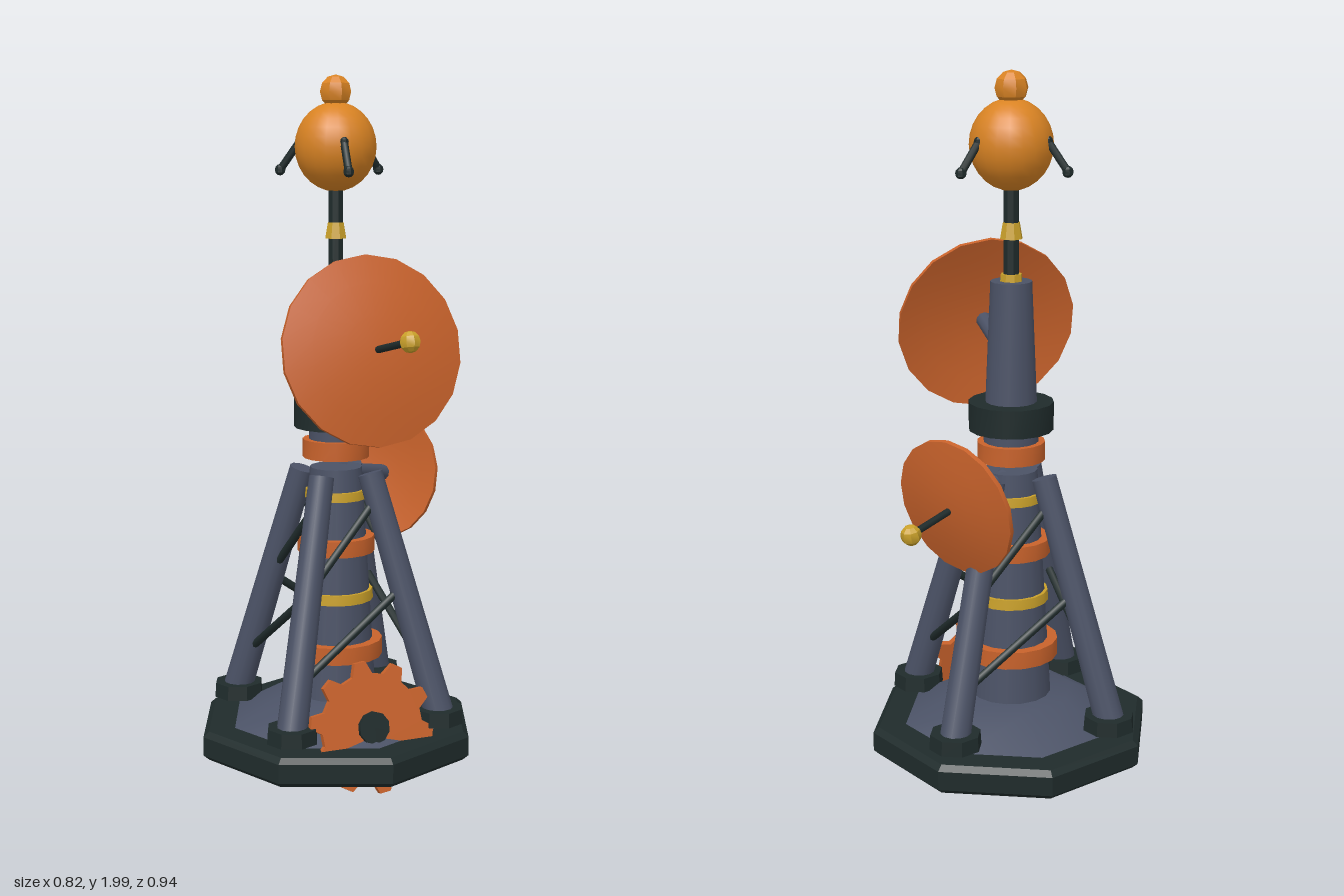
import * as THREE from 'three';
import { toCreasedNormals } from 'three/addons/utils/BufferGeometryUtils.js';

const material = (name, color) => {
  const m = new THREE.MeshStandardMaterial({ color });
  m.name = name;
  return m;
};

export function createModel() {
  const slate = material('slate', 0x4b5266);
  const dark = material('darkGreen', 0x1f2b2b);
  const rust = material('rust', 0xc8622b);
  const amber = material('amber', 0xd98323);
  const gold = material('gold', 0xc9a02a);

  const model = new THREE.Group();
  model.name = 'signalTower';
  const tower = new THREE.Group(); // everything shares the mast axis
  tower.name = 'tower';
  tower.position.z = -0.06;
  model.add(tower);

  const V = (x, y, z) => new THREE.Vector3(x, y, z);
  const add = (parent, name, geometry, mat) => {
    const mesh = new THREE.Mesh(geometry, mat);
    mesh.name = name;
    parent.add(mesh);
    return mesh;
  };
  // Upright drum between two heights
  const drum = (name, y0, y1, r0, r1, mat, sides = 16) => {
    const g = toCreasedNormals(new THREE.CylinderGeometry(r1, r0, y1 - y0, sides), 0.7);
    const mesh = add(tower, name, g, mat);
    mesh.position.y = (y0 + y1) / 2;
    return mesh;
  };
  // Round bar between two points
  const bar = (parent, name, a, b, r0, r1, mat, sides = 8) => {
    const d = b.clone().sub(a);
    const mesh = add(parent, name, new THREE.CylinderGeometry(r1, r0, d.length(), sides), mat);
    mesh.position.copy(a).add(b).multiplyScalar(0.5);
    mesh.quaternion.setFromUnitVectors(V(0, 1, 0), d.normalize());
    return mesh;
  };
  const ball = (parent, name, p, r, mat, w = 8, h = 6) => {
    const mesh = add(parent, name, toCreasedNormals(new THREE.SphereGeometry(r, w, h), 0.5), mat);
    mesh.position.copy(p);
    return mesh;
  };

  // Octagonal base with chamfered edges and a sloping deck
  const basePoints = [[0, 0.06], [0.395, 0.06], [0.412, 0.075], [0.412, 0.13], [0.395, 0.145], [0, 0.145]]
    .map(([r, y]) => new THREE.Vector2(r, y));
  add(tower, 'base', toCreasedNormals(new THREE.LatheGeometry(basePoints, 8), 0.3), dark);
  drum('deck', 0.14, 0.22, 0.325, 0.18, slate, 8);

  // Lower column with its bands
  drum('lowerColumn', 0.2, 0.893, 0.117, 0.075, slate);
  drum('columnRingLow', 0.335, 0.385, 0.135, 0.135, rust);
  drum('columnRingHigh', 0.645, 0.692, 0.112, 0.112, rust);
  drum('columnBandLow', 0.503, 0.533, 0.108, 0.106, gold);
  drum('columnBandHigh', 0.802, 0.828, 0.09, 0.088, gold);

  // Upper mast
  drum('mastCollar', 0.922, 0.975, 0.096, 0.096, rust);
  drum('mastNeck', 0.97, 1.02, 0.078, 0.078, slate);
  drum('mastRing', 1.01, 1.09, 0.12, 0.12, dark);
  drum('mast', 1.08, 1.43, 0.073, 0.058, slate);
  drum('spireFoot', 1.425, 1.45, 0.032, 0.03, gold, 8);
  drum('spire', 1.44, 1.7, 0.022, 0.022, dark, 8);
  drum('spireCollar', 1.547, 1.592, 0.032, 0.024, gold, 8);

  // Head
  ball(tower, 'head', V(0, 1.802, 0), 0.115, amber, 20, 14).scale.y = 1.08;
  ball(tower, 'headKnob', V(0, 1.953, 0), 0.047, amber);
  for (let i = 0; i < 3; i++) {
    const a = THREE.MathUtils.degToRad(-10 + i * 120);
    const at = (r, y) => V(Math.sin(a) * r, y, Math.cos(a) * r);
    bar(tower, 'antenna', at(0.105, 1.818), at(0.165, 1.737), 0.011, 0.011, dark);
    ball(tower, 'antennaRoot', at(0.107, 1.816), 0.014, dark);
    ball(tower, 'antennaTip', at(0.165, 1.737), 0.016, dark);
  }

  // Four splayed legs with two diagonal braces per side
  const corner = (y) => 0.225 - 0.15 * (y - 0.2) / 0.68;
  for (let i = 0; i < 4; i++) {
    const turn = (x, y, z) => V(x, y, z).applyAxisAngle(V(0, 1, 0), i * Math.PI / 2);
    const onLeg = (side, y) => turn(side * corner(y), y, corner(y));
    bar(tower, 'leg', onLeg(1, 0.18), onLeg(1, 0.88), 0.044, 0.036, slate, 12);
    drum('footPad', 0.168, 0.21, 0.075, 0.072, dark, 8).position.add(turn(0.225, 0, 0.225));
    bar(tower, 'lowerBrace', onLeg(-1, 0.31), onLeg(1, 0.555), 0.012, 0.012, dark);
    bar(tower, 'upperBrace', onLeg(-1, 0.56), onLeg(1, 0.81), 0.012, 0.012, dark);
  }

  // Dish on an arm, with a feed rod and ball in front
  const dish = (name, center, azimuth, pitch, R, feed) => {
    const g = new THREE.Group();
    g.name = name;
    g.position.copy(center);
    g.rotation.set(-THREE.MathUtils.degToRad(pitch), THREE.MathUtils.degToRad(azimuth), 0, 'YXZ');
    tower.add(g);
    const depth = R * 0.13, thick = 0.014;
    const points = [];
    const fractions = [0, 0.35, 0.7, 1];
    for (const f of fractions) points.push(new THREE.Vector2(f * R, depth * (1 - f * f)));
    for (const f of fractions.slice().reverse()) points.push(new THREE.Vector2(f * R, depth * (1 - f * f) + thick));
    const shell = toCreasedNormals(new THREE.LatheGeometry(points, 18), 0.6);
    shell.rotateX(Math.PI / 2).translate(0, 0, -thick / 2);
    add(g, name + 'Shell', shell, rust);
    bar(g, name + 'Arm', V(0, 0, -0.205), V(0, 0, depth), 0.024, 0.024, slate, 10);
    bar(g, name + 'FeedRod', V(0, 0, depth * 0.8), V(0, 0, feed), 0.01, 0.01, dark);
    ball(g, name + 'Feed', V(0, 0, feed), 0.029, gold);
  };
  dish('frontDish', V(0, 1.257, 0.26), 0, 12, 0.263, 0.25);
  dish('sideDish', V(0.194, 0.836, -0.13), 124, -10.7, 0.198, 0.184);

  // Leaning cog sunk through the base
  const cog = new THREE.Group();
  cog.name = 'cog';
  cog.position.set(0, 0.19, 0.262);
  cog.rotation.x = -0.21;
  tower.add(cog);
  const shape = new THREE.Shape();
  const teeth = 10;
  for (let i = 0; i < teeth; i++) {
    [[-0.32, 0.152], [-0.14, 0.187], [0.14, 0.187], [0.32, 0.152]].forEach(([o, r], k) => {
      const a = (i + o + 0.2) / teeth * Math.PI * 2 + Math.PI / 2;
      const p = [Math.cos(a) * r, Math.sin(a) * r];
      if (i + k === 0) shape.moveTo(...p);
      else shape.lineTo(...p);
    });
  }
  shape.closePath();
  const cogGeometry = new THREE.ExtrudeGeometry(shape, { depth: 0.02, bevelEnabled: false });
  cogGeometry.translate(0, 0, -0.01);
  add(cog, 'cogWheel', cogGeometry, rust);
  bar(cog, 'cogHub', V(0, 0, -0.025), V(0, 0, 0.025), 0.046, 0.046, dark, 10);

  return model;
}
